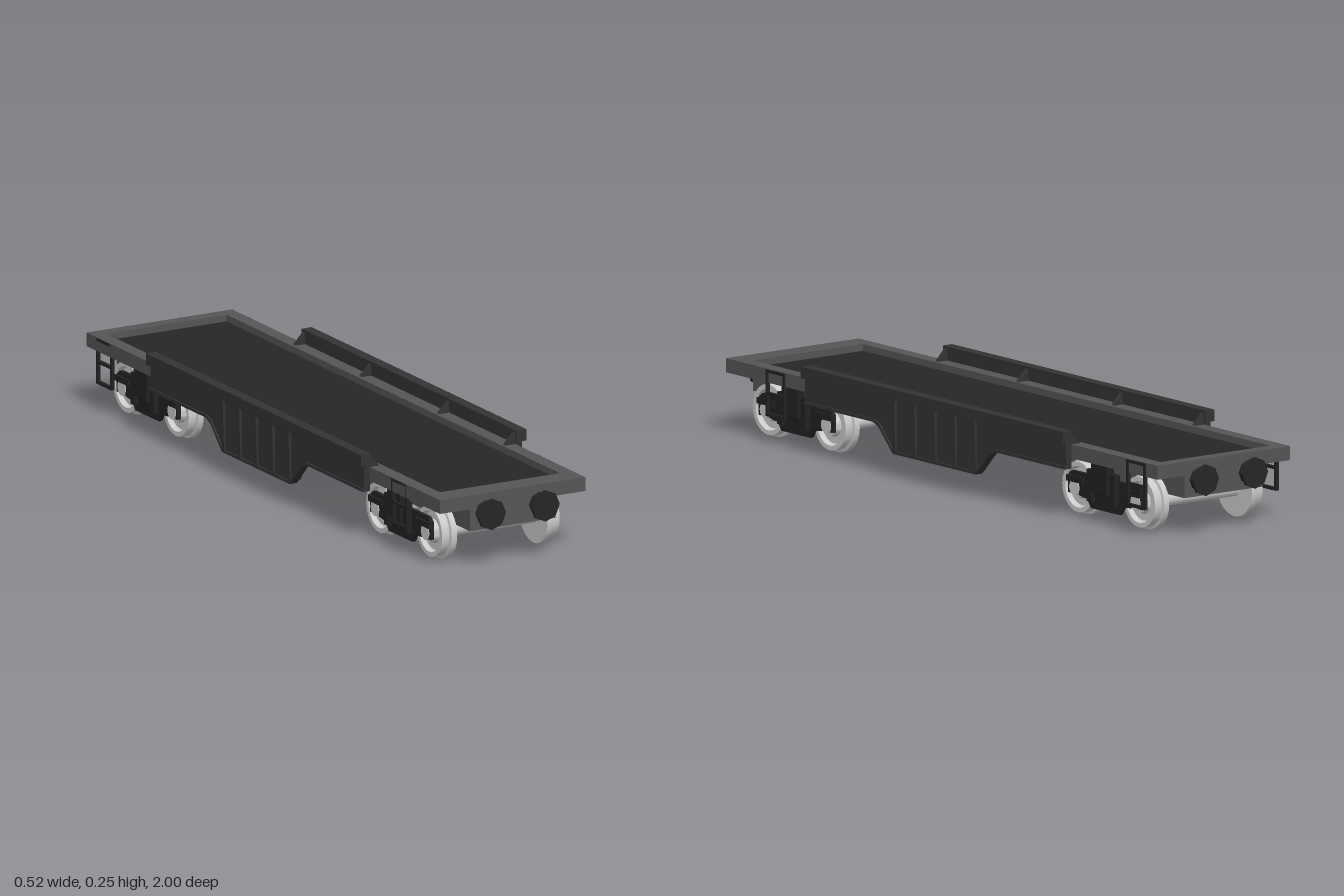
import * as THREE from 'three';
import { toCreasedNormals } from 'three/addons/utils/BufferGeometryUtils.js';

const mat = (color) => new THREE.MeshStandardMaterial({ color });
const MAT = {
  frame: mat(0x555555), floor: mat(0x262626), panel: mat(0x333333),
  bogie: mat(0x222222), buffer: mat(0x262626), wheel: mat(0xcccccc),
};
const SIDES = [1, -1];

function add(parent, name, geometry, material) {
  const mesh = new THREE.Mesh(geometry, material);
  mesh.name = name;
  parent.add(mesh);
  return mesh;
}

// Box given by its limits on each axis
function box(parent, name, material, [x0, x1], [y0, y1], [z0, z1]) {
  const g = new THREE.BoxGeometry(Math.abs(x1 - x0), y1 - y0, z1 - z0);
  g.translate((x0 + x1) / 2, (y0 + y1) / 2, (z0 + z1) / 2);
  return add(parent, name, g, material);
}

const polygon = (pts) => new THREE.Shape(pts.map(([a, b]) => new THREE.Vector2(a, b)));

// Plate with a (z, y) outline, spanning x0..x1 outward on side s
function sidePlate(parent, name, material, pts, s, x0, x1) {
  const g = new THREE.ExtrudeGeometry(polygon(pts), { depth: x1 - x0, bevelEnabled: false });
  g.rotateY(-Math.PI / 2).translate(s > 0 ? x1 : -x0, 0, 0);
  return add(parent, name, g, material);
}

// Outline given for +z, completed by its reflection
const mirrorOutline = (half) => [...half, ...half.map(([z, y]) => [-z, y]).reverse()];

function buildDeck(root) {
  const deck = new THREE.Group();
  deck.name = 'deck';
  root.add(deck);
  // Raised rim around a sunken floor
  const rim = polygon([[-0.23, -0.965], [0.23, -0.965], [0.23, 0.968], [-0.23, 0.968]]);
  rim.holes.push(polygon([[-0.19, -0.895], [-0.19, 0.93], [0.19, 0.93], [0.19, -0.895]]));
  const g = new THREE.ExtrudeGeometry(rim, { depth: 0.039, bevelEnabled: false });
  g.rotateX(-Math.PI / 2).translate(0, 0.168, 0);
  add(deck, 'deckRim', g, MAT.frame);
  box(deck, 'deckFloor', MAT.floor, [-0.19, 0.19], [0.168, 0.188], [-0.93, 0.895]);
  box(deck, 'centreSill', MAT.frame, [-0.135, 0.135], [0.105, 0.168], [-0.967, 0.965]);
}

function buildSidePanel(root, s) {
  const panel = new THREE.Group();
  panel.name = s > 0 ? 'leftSidePanel' : 'rightSidePanel';
  root.add(panel);
  const X = (a, b) => [s * a, s * b];
  box(panel, 'topRail', MAT.panel, X(0.23, 0.262), [0.214, 0.246], [-0.588, 0.588]);
  // Skirt that drops down in the middle
  const outline = mirrorOutline([[0.585, 0.216], [0.585, 0.14], [0.275, 0.14], [0.25, 0.13], [0.185, 0.064]]);
  sidePlate(panel, 'skirt', MAT.panel, outline, s, 0.231, 0.25);
  // Lip along the lower edge
  const lip = [[0.585, 0.148], [0.585, 0.14], [0.275, 0.14], [0.25, 0.13], [0.185, 0.064]];
  const inner = [[0.182, 0.072], [0.247, 0.138], [0.274, 0.148]];
  sidePlate(panel, 'skirtLip', MAT.panel,
    [...mirrorOutline(lip), ...inner.map(([z, y]) => [-z, y]).reverse(), ...inner], s, 0.25, 0.255);
  // Tapered ribs on the outside, posts on the inside
  for (const z of [-0.18, -0.09, 0, 0.09, 0.18]) {
    const rib = polygon([[0.248, 0.072], [0.255, 0.072], [0.26, 0.216], [0.248, 0.216]].map(([x, y]) => [s * x, y]));
    const g = new THREE.ExtrudeGeometry(rib, { depth: 0.014, bevelEnabled: false });
    add(panel, 'rib', g.translate(0, 0, z - 0.007), MAT.panel);
    box(panel, 'innerPost', MAT.panel, X(0.218, 0.232), [0.072, 0.169], [z - 0.006, z + 0.006]);
  }
  // Gussets tying the rail to the deck
  for (const z of [-0.575, -0.213, 0.213, 0.575]) {
    const gusset = polygon([[0.198, 0.206], [0.231, 0.206], [0.231, 0.24]].map(([x, y]) => [s * x, y]));
    const g = new THREE.ExtrudeGeometry(gusset, { depth: 0.014, bevelEnabled: false });
    add(panel, 'gusset', g.translate(0, 0, z - 0.007), MAT.panel);
  }
}

function buildWheelset(parent, z) {
  const set = new THREE.Group();
  set.name = 'wheelset';
  set.position.set(0, 0.079, z);
  parent.add(set);
  const axle = new THREE.CylinderGeometry(0.022, 0.022, 0.4, 20);
  add(set, 'axle', axle.rotateZ(Math.PI / 2), MAT.wheel);
  // Flanged wheel with a dished outer face
  const profile = [[0, 0.143], [0.079, 0.143], [0.079, 0.16], [0.071, 0.162], [0.071, 0.186], [0.058, 0.186],
    [0.053, 0.172], [0.034, 0.172], [0.03, 0.187], [0, 0.187]].map(([r, y]) => new THREE.Vector2(r, y));
  for (const s of SIDES) {
    const g = toCreasedNormals(new THREE.LatheGeometry(profile, 28), 0.6);
    add(set, 'wheel', g.rotateZ(-s * Math.PI / 2), MAT.wheel);
  }
}

function buildBogie(root, z) {
  const bogie = new THREE.Group();
  bogie.name = z > 0 ? 'frontBogie' : 'rearBogie';
  bogie.position.z = z;
  root.add(bogie);
  for (const d of SIDES) buildWheelset(bogie, d * 0.137);
  for (const s of SIDES) {
    const X = (a, b) => [s * a, s * b];
    // Side frame with horns reaching down past the axle ends
    const half = [[0, 0.125], [0.15, 0.125], [0.166, 0.112], [0.166, 0.062], [0.155, 0.062], [0.155, 0.1],
      [0.117, 0.1], [0.117, 0.06], [0.08, 0.055], [0.065, 0.033], [0, 0.033]];
    sidePlate(bogie, 'sideFrame', MAT.bogie, mirrorOutline(half), s, 0.187, 0.198);
    // Bolster end tapering outward to the top
    const end = polygon([[0.195, 0.05], [0.205, 0.05], [0.207, 0.078], [0.22, 0.085], [0.22, 0.169], [0.195, 0.169]]
      .map(([x, y]) => [s * x, y]));
    const g = new THREE.ExtrudeGeometry(end, { depth: 0.07, bevelEnabled: false });
    add(bogie, 'bolsterEnd', g.translate(0, 0, -0.035), MAT.bogie);
    for (const d of SIDES) {
      box(bogie, 'spring', MAT.bogie, X(0.196, 0.214), [0.055, 0.145], [d * 0.052 - 0.011, d * 0.052 + 0.011]);
      box(bogie, 'axleGuide', MAT.bogie, X(0.196, 0.205), [0.095, 0.112], [d * 0.13 - 0.036, d * 0.13 + 0.036]);
    }
  }
}

function buildLadder(root, s, z) {
  const ladder = new THREE.Group();
  ladder.name = 'stepLadder';
  root.add(ladder);
  const x = s > 0 ? [0.224, 0.234] : [-0.23, -0.22];
  for (const d of SIDES) {
    const c = z + d * 0.038;
    box(ladder, 'ladderPost', MAT.bogie, x, [0.075, 0.205], [c - 0.004, c + 0.004]);
  }
  for (const y of [0.079, 0.138, 0.201]) {
    box(ladder, 'ladderStep', MAT.bogie, x, [y - 0.004, y + 0.004], [z - 0.038, z + 0.038]);
  }
}

function buildBuffer(root, x, d) {
  const buffer = new THREE.Group();
  buffer.name = 'buffer';
  buffer.position.set(x, 0.154, 0);
  buffer.rotation.y = d > 0 ? 0 : Math.PI;
  root.add(buffer);
  // Octagonal stem and head
  for (const [name, r0, r1, z0, z1] of [['bufferStem', 0.034, 0.03, 0.96, 0.992], ['bufferHead', 0.044, 0.044, 0.991, 1]]) {
    const g = new THREE.CylinderGeometry(r1, r0, z1 - z0, 8).toNonIndexed();
    g.rotateX(Math.PI / 2).translate(0, 0, (z0 + z1) / 2);
    g.computeVertexNormals();
    add(buffer, name, g, MAT.buffer);
  }
}

export function createModel() {
  const root = new THREE.Group();
  root.name = 'flatWagon';
  buildDeck(root);
  for (const s of SIDES) {
    buildSidePanel(root, s);
    buildBogie(root, s * 0.693);
    for (const z of [0.74, -0.875]) buildLadder(root, s, z);
    for (const d of SIDES) buildBuffer(root, s * 0.085, d);
  }
  return root;
}
